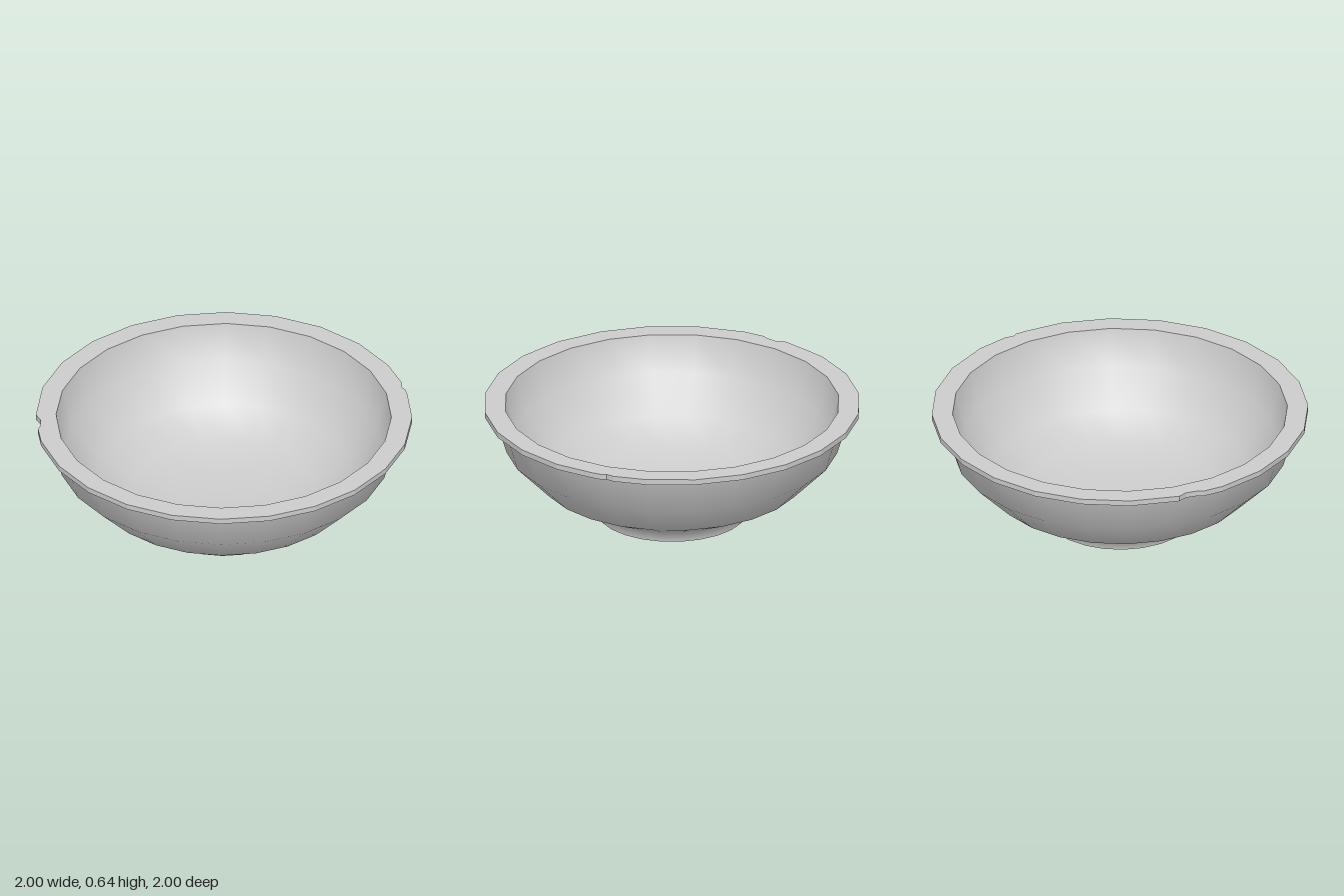
import * as THREE from 'three';

const SIDES = 24;

export function createModel() {
  const bowl = new THREE.Group();
  bowl.name = 'bowl';
  const material = new THREE.MeshStandardMaterial({ color: 0xcccccc });

  const add = (name, geometry) => {
    const mesh = new THREE.Mesh(geometry, material);
    mesh.name = name;
    bowl.add(mesh);
    return mesh;
  };
  const points = (list) => list.map(([x, y]) => new THREE.Vector2(x, y));
  const lathe = (name, profile) => add(name, new THREE.LatheGeometry(points(profile), SIDES));

  // Underside of the foot, very slightly domed
  lathe('footBase', [[0, 0], [0.25, 0.004], [0.4, 0.01]]);

  // Foot flowing into the outer wall
  lathe('outerWall', [[0.4, 0.01], [0.41, 0.07], [0.7, 0.21], [0.885, 0.4], [0.95, 0.62]]);

  // Hollow inside, from the lip down to the flat floor
  lathe('innerWall', [[0.89, 0.637], [0.84, 0.44], [0.68, 0.26], [0.5, 0.16], [0.28, 0.1], [0, 0.095]]);

  // Flat rim with two chips knocked out of its outer edge
  const chips = {
    2: [[0.9, 0.43], [0.87, 0.46], [0.868, 0.49], [0.84, 0.535]],
    15: [[-0.8, -0.59], [-0.765, -0.61], [-0.725, -0.65], [-0.71, -0.7]],
  };
  const outline = [];
  const opening = [];
  for (let i = 0; i < SIDES; i++) {
    const a = (i / SIDES) * Math.PI * 2;
    outline.push(...(chips[i] || [[Math.cos(a), Math.sin(a)]]));
    opening.push([0.89 * Math.cos(a), 0.89 * Math.sin(a)]);
  }
  const shape = new THREE.Shape(points(outline));
  shape.holes.push(new THREE.Path(points(opening)));
  const rim = new THREE.ExtrudeGeometry(shape, { depth: 0.03, bevelEnabled: false });
  rim.rotateX(Math.PI / 2);
  add('rim', rim).position.y = 0.638;

  return bowl;
}
